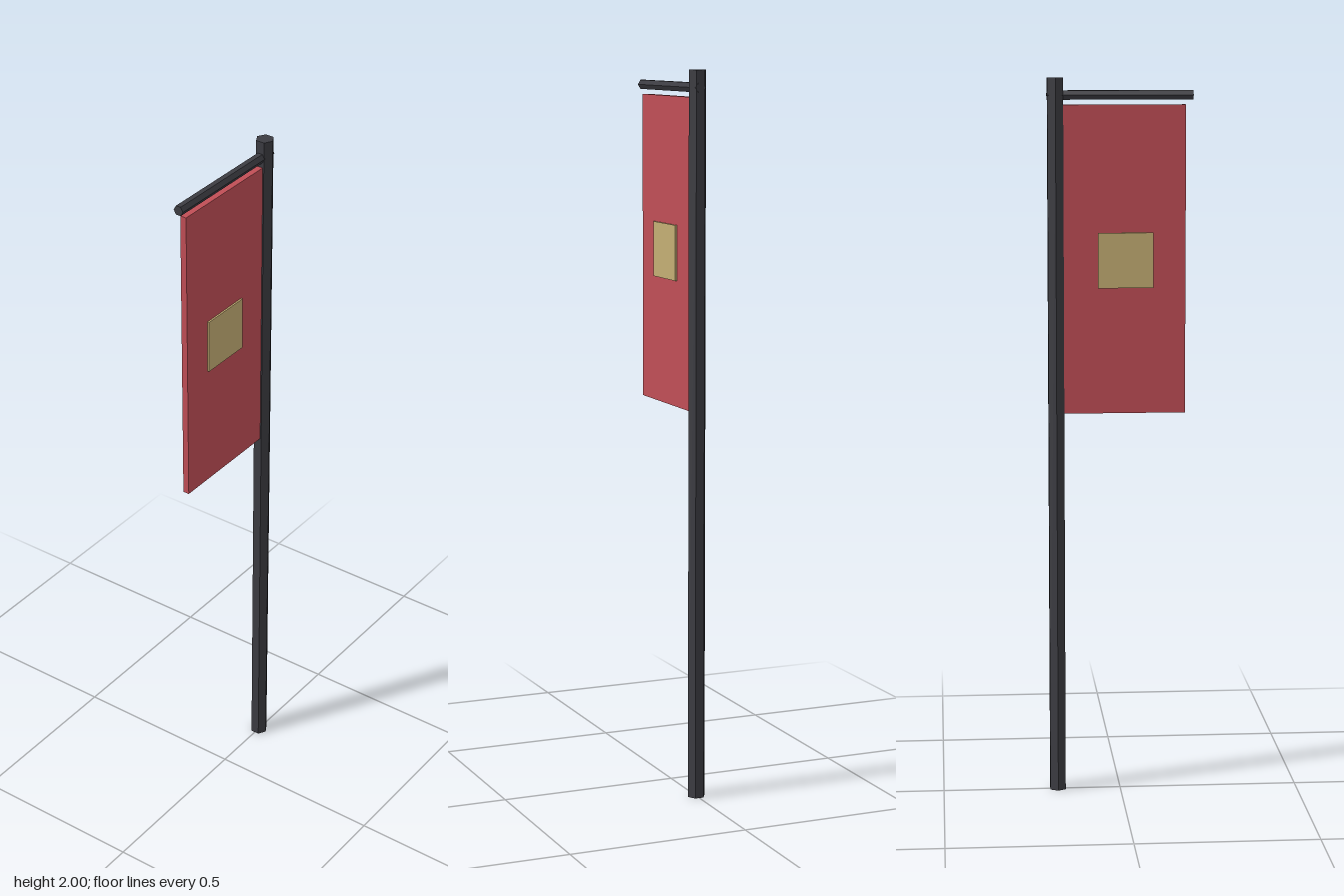
import * as THREE from 'three';

const material = (name, color) => {
  const m = new THREE.MeshStandardMaterial({ color, flatShading: true });
  m.name = name;
  return m;
};

export function createModel() {
  const group = new THREE.Group();
  group.name = 'bannerPole';
  const metal = material('dark metal', 0x3c3c42);
  const cloth = material('red cloth', 0xc04e56);
  const gold = material('pale gold', 0xc4ae74);

  const add = (name, geometry, mat, x, y, z) => {
    const mesh = new THREE.Mesh(geometry, mat);
    mesh.name = name;
    mesh.position.set(x, y, z);
    group.add(mesh);
  };

  // Hexagonal bar standing upright, with corners towards +x and -x
  const hexBar = (radius, length) =>
    new THREE.CylinderGeometry(radius, radius, length, 6).rotateY(Math.PI / 6);

  // Upright pole, and the arm that passes through its top
  add('pole', hexBar(0.025, 2), metal, 0, 1, -0.177);
  add('arm', hexBar(0.0145, 0.4).rotateX(Math.PI / 2), metal, 0, 1.953, 0);

  // Hanging banner, reaching to the pole
  add('banner', new THREE.BoxGeometry(0.018, 0.848, 0.338), cloth, 0, 1.503, 0.011);

  // Square emblem on both faces of the banner
  for (const side of [1, -1]) {
    add(side > 0 ? 'leftEmblem' : 'rightEmblem',
      new THREE.BoxGeometry(0.006, 0.152, 0.152), gold, side * 0.011, 1.503, 0.015);
  }
  return group;
}
